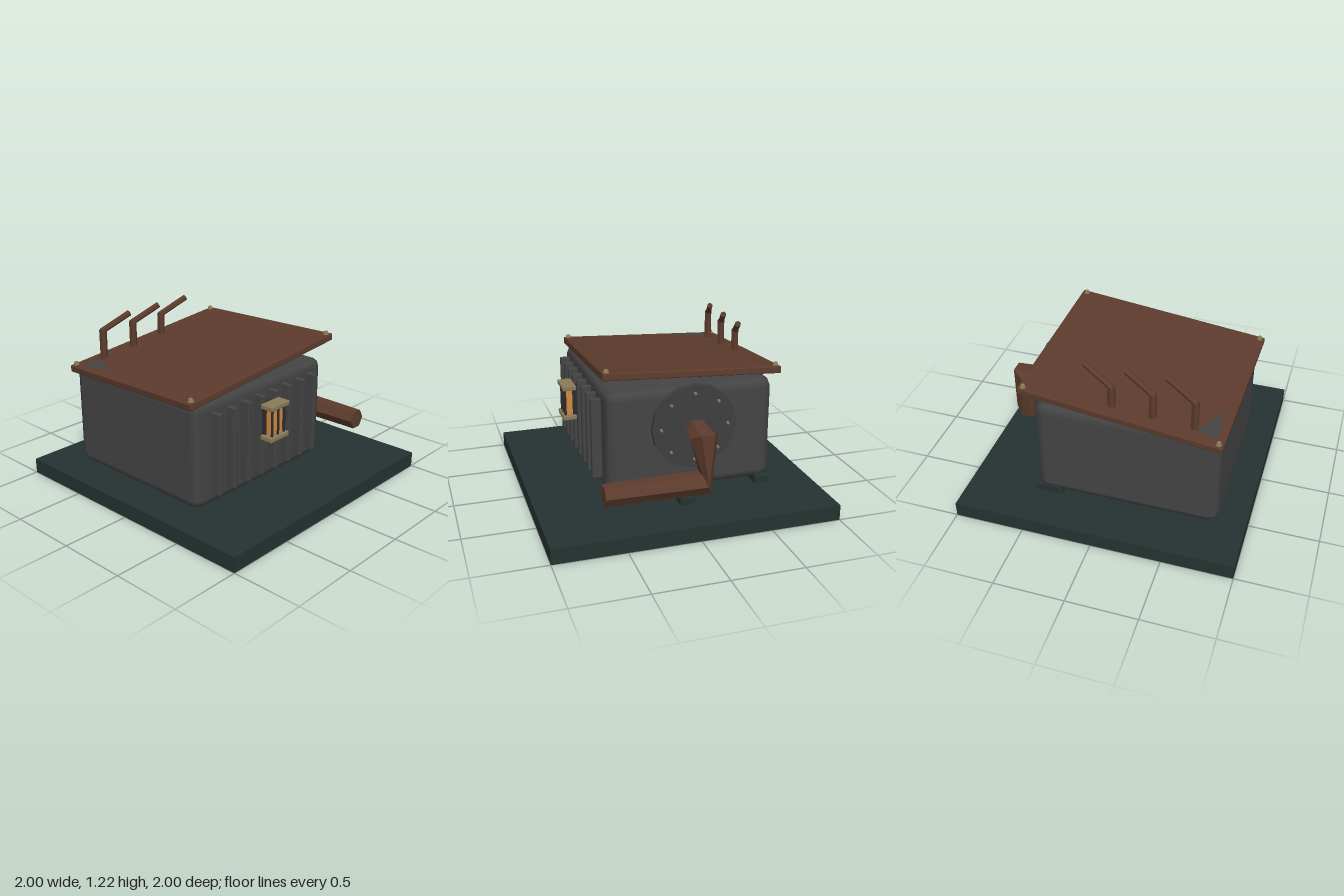
import * as THREE from 'three';
import { RoundedBoxGeometry } from 'three/addons/geometries/RoundedBoxGeometry.js';

const mat = (name, color, flat = true) => {
  const m = new THREE.MeshStandardMaterial({ color, flatShading: flat });
  m.name = name;
  return m;
};

// Closed solid lofted through hexagonal rings: [centre, U axis, V axis, start angle]
function hexLoft(rings) {
  const pos = [], idx = [], n = 6;
  for (const [c, u, v, start] of rings) {
    for (let k = 0; k < n; k++) {
      const a = start + (k / n) * Math.PI * 2;
      for (let j = 0; j < 3; j++) pos.push(c[j] + u[j] * Math.cos(a) + v[j] * Math.sin(a));
    }
  }
  for (let i = 0; i < rings.length - 1; i++) {
    for (let k = 0; k < n; k++) {
      const a = i * n + k, b = i * n + (k + 1) % n;
      idx.push(a, a + n, b, b, a + n, b + n);
    }
  }
  const last = (rings.length - 1) * n;
  for (let k = 1; k < n - 1; k++) {
    idx.push(0, k, k + 1, last, last + k + 1, last + k);
  }
  const g = new THREE.BufferGeometry();
  g.setAttribute('position', new THREE.Float32BufferAttribute(pos, 3));
  g.setIndex(idx);
  const flat = g.toNonIndexed();
  flat.computeVertexNormals();
  return flat;
}

export function createModel() {
  const root = new THREE.Group();
  root.name = 'crankBox';

  const green = mat('dark green', 0x253231);
  const iron = mat('iron grey', 0x444444, false);
  const plate = mat('dark plate', 0x3e3f40);
  const brown = mat('rusty brown', 0x5c3b2c);
  const brass = mat('dull brass', 0x8a7a58);
  const amber = mat('amber glow', 0xd18a45);
  const black = mat('dark frame', 0x2c2c2c);

  const add = (name, geo, material, x = 0, y = 0, z = 0, parent = root) => {
    const m = new THREE.Mesh(geo, material);
    m.name = name;
    m.position.set(x, y, z);
    parent.add(m);
    return m;
  };
  const box = (w, h, d) => new THREE.BoxGeometry(w, h, d);

  // Hexagonal rod between two points
  const rod = (name, a, b, r, material, parent) => {
    const p = new THREE.Vector3(...a), q = new THREE.Vector3(...b);
    const m = add(name, new THREE.CylinderGeometry(r, r, p.distanceTo(q), 6), material, 0, 0, 0, parent);
    m.position.copy(p).lerp(q, 0.5);
    m.quaternion.setFromUnitVectors(new THREE.Vector3(0, 1, 0), q.sub(p).normalize());
    return m;
  };

  // Ground slab and the feet under the body
  add('base', box(2, 0.11, 2), green, 0, 0.055, 0);
  const feet = [
    [-0.57, 0.185, 0.18, 0.17], [-0.185, -0.41, 0.25, 0.2], [0.2, 0.185, 0.22, 0.17],
    [0.41, -0.635, 0.2, 0.11], [0.59, -0.015, 0.18, 0.11],
  ];
  for (const [x, z, w, d] of feet) {
    add('foot', new RoundedBoxGeometry(w, 0.08, d, 1, 0.015), green, x, 0.132, z);
  }

  // Body with bevelled edges and a row of front ribs
  add('body', new RoundedBoxGeometry(1.3, 0.75, 1.2, 1, 0.07), iron, -0.16, 0.515, -0.1);
  for (let i = 0; i < 8; i++) {
    add('rib', new RoundedBoxGeometry(0.04, 0.58, 0.1, 1, 0.008), iron, -0.655 + i * 0.14, 0.525, 0.52);
  }

  // Crooked lid with a screw in each corner
  const lid = new THREE.Group();
  lid.name = 'lid';
  lid.position.set(-0.132, 0.938, -0.103);
  lid.rotation.set(-0.043, -0.03, 0.098);
  root.add(lid);
  add('lidPanel', new RoundedBoxGeometry(1.415, 0.05, 1.24, 1, 0.008), brown, 0, 0, 0, lid);
  for (const x of [-0.672, 0.672]) {
    for (const z of [-0.59, 0.59]) {
      add('lidScrew', new THREE.CylinderGeometry(0.013, 0.022, 0.025, 8), brass, x, 0.035, z, lid);
    }
  }

  // Three bent levers on the lid
  for (let i = 0; i < 3; i++) {
    const x = -0.605 + i * 0.28;
    const lever = new THREE.Group();
    lever.name = 'lever';
    root.add(lever);
    rod('leverPost', [x, 0.88 + i * 0.03, -0.62], [x, 1.105, -0.62], 0.027, brown, lever);
    rod('leverHandle', [x - 0.01, 1.095, -0.625], [x + 0.2, 1.2, -0.558], 0.022, brown, lever);
  }

  // Side disc with a ring of bolts
  const disc = add('sideDisc', new THREE.CylinderGeometry(0.297, 0.297, 0.04, 16), plate, 0.6, 0.653, -0.075);
  disc.rotation.z = -Math.PI / 2;
  for (let i = 0; i < 8; i++) {
    const a = (i / 8) * Math.PI * 2;
    const bolt = add('discBolt', new THREE.CylinderGeometry(0.008, 0.012, 0.02, 6), brass,
      0.628, 0.653 + 0.235 * Math.sin(a), -0.075 + 0.235 * Math.cos(a));
    bolt.rotation.z = -Math.PI / 2;
  }

  // Crank: hub, twisted arm and long grip
  const twist = Math.PI / 6;
  add('crank', hexLoft([
    [[0.65, 0.655, -0.075], [0, 0, 0.08], [0, 0.064, 0], 0],
    [[0.80, 0.645, -0.075], [0, 0, 0.095], [0.092, 0.052, 0], 0],
    [[0.81, 0.33, -0.08], [0, 0.08, 0.035], [0.09, 0, 0], twist],
    [[0.81, 0.33, 0.61], [0, 0.075, 0], [0.075, 0, 0], twist],
  ]), brown);

  // Lantern on the front
  const lantern = new THREE.Group();
  lantern.name = 'lantern';
  lantern.position.set(-0.183, 0.643, 0);
  root.add(lantern);
  add('lanternBack', box(0.14, 0.2, 0.09), black, 0, 0, 0.55, lantern);
  add('lanternGlow', box(0.11, 0.19, 0.05), amber, 0, 0, 0.615, lantern);
  for (const y of [-0.113, 0.111]) {
    add('lanternCap', new RoundedBoxGeometry(0.187, 0.034, 0.098, 1, 0.006), brass, 0, y, 0.622, lantern);
  }
  for (const x of [-0.062, 0, 0.062]) {
    rod('lanternBar', [x, -0.1, 0.65], [x, 0.1, 0.65], 0.009, black, lantern);
  }

  return root;
}
